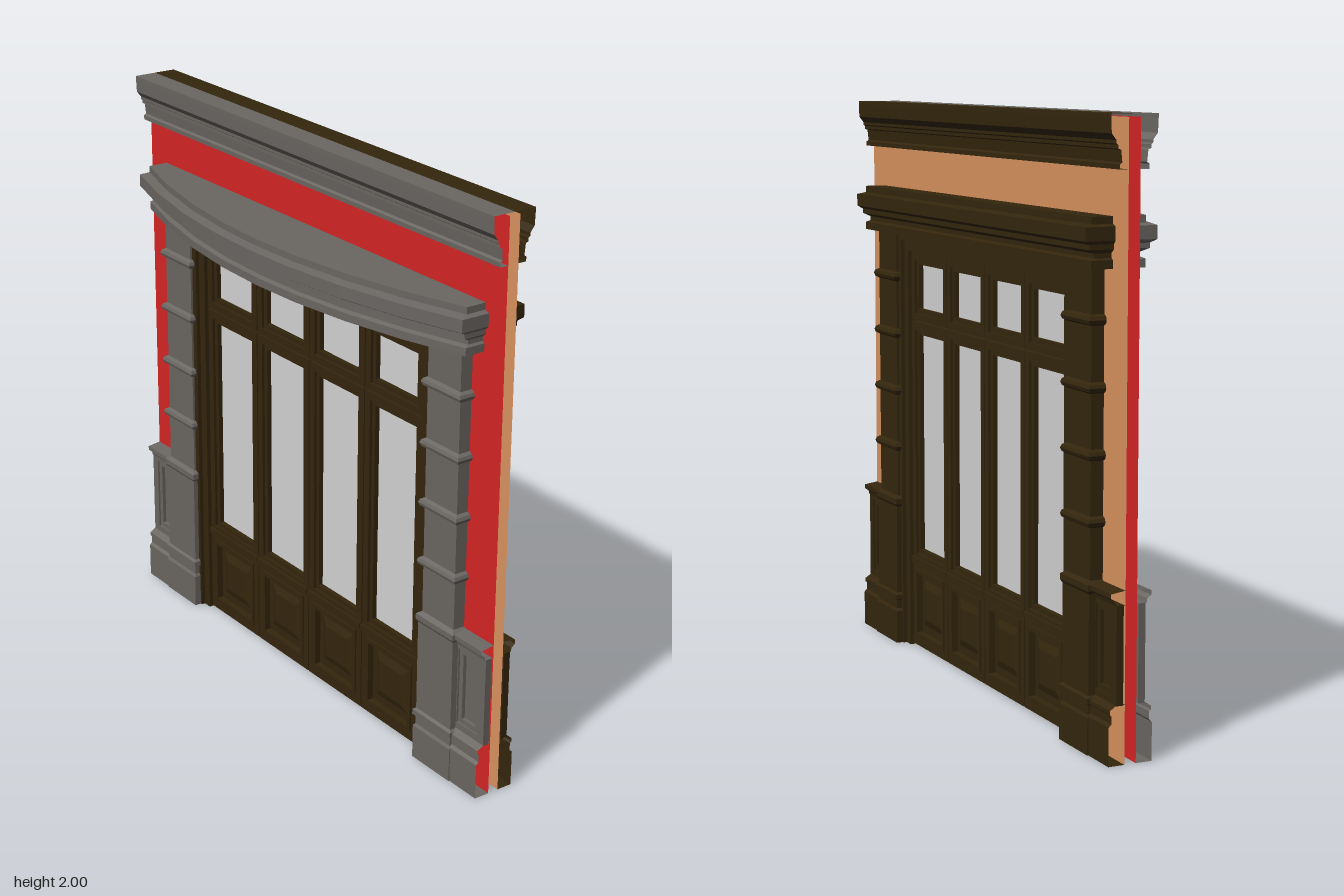
import * as THREE from 'three';

const mat = (name, color) => new THREE.MeshStandardMaterial({ name, color, side: THREE.DoubleSide });

export function createModel() {
  const stone = mat('grey stone', 0x6a6662);
  const wood = mat('dark brown wood', 0x34260d);
  const red = mat('red paint', 0xd42424);
  const tan = mat('tan plaster', 0xd8925f);
  const glass = mat('pale glass', 0xd2d2d2);

  const model = new THREE.Group();
  model.name = 'shopfront';
  const MID = -0.078; // middle plane of the wall

  const add = (parent, name, geo, material, x = 0, y = 0, z = 0) => {
    const mesh = new THREE.Mesh(geo, material);
    mesh.name = name;
    mesh.position.set(x, y, z);
    parent.add(mesh);
    return mesh;
  };

  // Sweeps a plan outline ring(offset) up a moulding profile of [offset, y]
  const loft = (ring, profile, caps = true) => {
    const rows = profile.map(([e, y]) => ring(e).map(([x, z]) => [x, y, z]));
    const pos = [];
    const tri = (a, b, c) => pos.push(...a, ...b, ...c);
    for (let i = 0; i < rows.length - 1; i++) {
      const lo = rows[i], hi = rows[i + 1];
      for (let j = 0; j < lo.length - 1; j++) {
        tri(lo[j], lo[j + 1], hi[j + 1]);
        tri(lo[j], hi[j + 1], hi[j]);
      }
    }
    if (caps) {
      const bottom = rows[0], top = rows[rows.length - 1];
      for (let j = 1; j < top.length - 1; j++) {
        tri(top[0], top[j], top[j + 1]);
        tri(bottom[0], bottom[j + 1], bottom[j]);
      }
    }
    const geo = new THREE.BufferGeometry();
    geo.setAttribute('position', new THREE.Float32BufferAttribute(pos, 3));
    geo.computeVertexNormals();
    return geo;
  };

  const rect = (T, x0, x1, y0, y1) => {
    const p = new T();
    p.moveTo(x0, y0); p.lineTo(x1, y0); p.lineTo(x1, y1); p.lineTo(x0, y1); p.closePath();
    return p;
  };

  // Plate centred on z = 0 with rectangular openings [x0, x1, y0, y1]
  const plate = (outer, holes, half) => {
    const s = rect(THREE.Shape, ...outer);
    holes.forEach(h => s.holes.push(rect(THREE.Path, ...h)));
    return new THREE.ExtrudeGeometry(s, { depth: half * 2, bevelEnabled: false }).translate(0, 0, -half);
  };
  const border = ([x0, x1, y0, y1], w, half) =>
    plate([x0, x1, y0, y1], [[x0 + w, x1 - w, y0 + w, y1 - w]], half);

  // Arch-shaped outline open at the floor
  const arch = (X, H, x, h) => {
    const s = new THREE.Shape();
    [[-X, 0], [-x, 0], [-x, h], [x, h], [x, 0], [X, 0], [X, H], [-X, H]]
      .forEach(([px, py], i) => (i ? s.lineTo(px, py) : s.moveTo(px, py)));
    s.closePath();
    return s;
  };

  // Wall skins
  const wall = arch(1, 1.99, 0.69, 1.53);
  add(model, 'frontWall', new THREE.ShapeGeometry(wall), red, 0, 0, MID + 0.02);
  add(model, 'backWall', new THREE.ShapeGeometry(wall), tan, 0, 0, MID - 0.02);

  // Moulding profiles
  const pilasterProfile = [[0.016, 0], [0.016, 0.12], [0.01, 0.13], [0.01, 0.16], [0.018, 0.165],
    [0.018, 0.183], [0.009, 0.19], [0.009, 0.515], [0.015, 0.525], [0.015, 0.545], [0, 0.556]];
  for (const y of [0.74, 0.95, 1.16, 1.37])
    pilasterProfile.push([0, y - 0.018], [0.012, y - 0.011], [0.016, y], [0.012, y + 0.011], [0, y + 0.018]);
  pilasterProfile.push([0, 1.54]);

  const corniceProfile = [[0.02, 1.835], [0.05, 1.835], [0.05, 1.85], [0.042, 1.856], [0.046, 1.893],
    [0.056, 1.897], [0.056, 1.908], [0.062, 1.912], [0.062, 1.922], [0.078, 1.942],
    [0.08, 1.985], [0.08, 2], [0, 2]];
  const lintelProfile = [[0.028, 1.53], [0.028, 1.557], [0.042, 1.563], [0.042, 1.578], [0.018, 1.59],
    [0.018, 1.606], [0, 1.617], [0, 1.66], [0.028, 1.667], [0.028, 1.69]];
  const plinthProfile = [[0.02, 0], [0.076, 0], [0.076, 0.125], [0.066, 0.135], [0.066, 0.16],
    [0.072, 0.165], [0.072, 0.178], [0.05, 0.192], [0.02, 0.192]];
  const capProfile = [[0.02, 0.505], [0.052, 0.505], [0.056, 0.52], [0.07, 0.53], [0.07, 0.545], [0.02, 0.552]];

  const bowedPlan = e => {
    const k = 1 - 0.6 * e / 0.92, X = 0.92 * k;
    const arc = [-0.92, -0.69, -0.45, -0.21, 0, 0.21, 0.45, 0.69, 0.92]
      .map(x => [x * k, 0.278 - x * x / 5.5 - 1.1 * e]);
    return [[-X, 0], ...arc, [X, 0]];
  };
  const straightPlan = e => {
    const X = 0.92 - 0.6 * e;
    return [[-X, 0], [-X, 0.122 - e], [X, 0.122 - e], [X, 0]];
  };

  // Stonework on each face: grey outside, brown inside
  for (const [side, material, plan] of [['front', stone, bowedPlan], ['back', wood, straightPlan]]) {
    const face = new THREE.Group();
    face.name = side + 'Stonework';
    face.position.z = MID;
    if (side === 'back') face.rotation.y = Math.PI;
    model.add(face);

    add(face, 'cornice', loft(d => [[-1, d], [1, d]], corniceProfile, false), material);
    add(face, 'lintel', loft(plan, lintelProfile), material);

    for (const s of [-1, 1]) {
      const post = e => [[0.687 - e, 0], [0.687 - e, 0.064 + e], [0.85 + e, 0.064 + e], [0.85 + e, 0]]
        .map(([x, z]) => [x * s, z]);
      add(face, 'pilaster', loft(post, pilasterProfile), material);

      // Wainscot beside the pilaster
      const strip = d => [[s * 0.84, d], [s, d]];
      add(face, 'wainscotPlinth', loft(strip, plinthProfile, false), material);
      add(face, 'wainscotCap', loft(strip, capProfile, false), material);
      const mx = (a, b) => (s > 0 ? [a, b] : [-b, -a]);
      const hole = [...mx(0.862, 0.968), 0.215, 0.49];
      add(face, 'wainscotFrame', plate([...mx(0.84, 1), 0.19, 0.507], [hole], 0.012), material, 0, 0, 0.038);
      add(face, 'wainscotMoulding', border(hole, 0.018, 0.008), material, 0, 0, 0.035);
      add(face, 'wainscotPanel', new THREE.PlaneGeometry(0.12, 0.29), material, s * 0.915, 0.352, 0.03);
    }
  }

  // Door surround in two steps
  const doors = new THREE.Group();
  doors.name = 'doors';
  doors.position.z = MID;
  model.add(doors);
  for (const [X, H, x, h, half] of [[0.69, 1.53, 0.664, 1.505, 0.056], [0.666, 1.507, 0.63, 1.468, 0.042]])
    add(doors, 'doorFrame', new THREE.ExtrudeGeometry(arch(X, H, x, h), { depth: half * 2, bevelEnabled: false }),
      wood, 0, 0, -half);

  // Four leaves, each with a transom light, a tall light and a raised panel
  const W = 0.1545;
  const field = rect(THREE.Shape, -0.062, 0.062, 0.112, 0.228);
  const raised = new THREE.ExtrudeGeometry(field, {
    depth: 0.026, bevelEnabled: true, bevelSize: 0.027, bevelThickness: 0.01, bevelSegments: 1,
  }).translate(0, 0, -0.013);
  for (let i = 0; i < 4; i++) {
    const leaf = new THREE.Group();
    leaf.name = 'doorLeaf';
    leaf.position.x = (i - 1.5) * 0.3145;
    doors.add(leaf);

    const tall = [-0.127, 0.127, 0.352, 1.183];
    const small = [-0.127, 0.127, 1.243, 1.438];
    const panel = [-0.127, 0.127, 0.04, 0.298];
    add(leaf, 'leafFrame', plate([-W, W, 0.006, 1.212], [tall, panel], 0.03), wood);
    add(leaf, 'transomFrame', plate([-W, W, 1.218, 1.47], [small], 0.03), wood);
    for (const opening of [tall, small]) {
      const [x0, x1, y0, y1] = opening;
      add(leaf, 'glazingBead', border(opening, 0.017, 0.02), wood);
      add(leaf, 'glassPane', new THREE.BoxGeometry(x1 - x0, y1 - y0, 0.006), glass, 0, (y0 + y1) / 2);
    }
    add(leaf, 'panelMoulding', border(panel, 0.016, 0.036), wood);
    add(leaf, 'panelGround', new THREE.BoxGeometry(0.256, 0.26, 0.024), wood, 0, 0.169);
    add(leaf, 'raisedPanel', raised, wood);
    add(leaf, 'midRail', new THREE.BoxGeometry(2 * W, 0.02, 0.078), wood, 0, 0.328);
  }
  return model;
}
